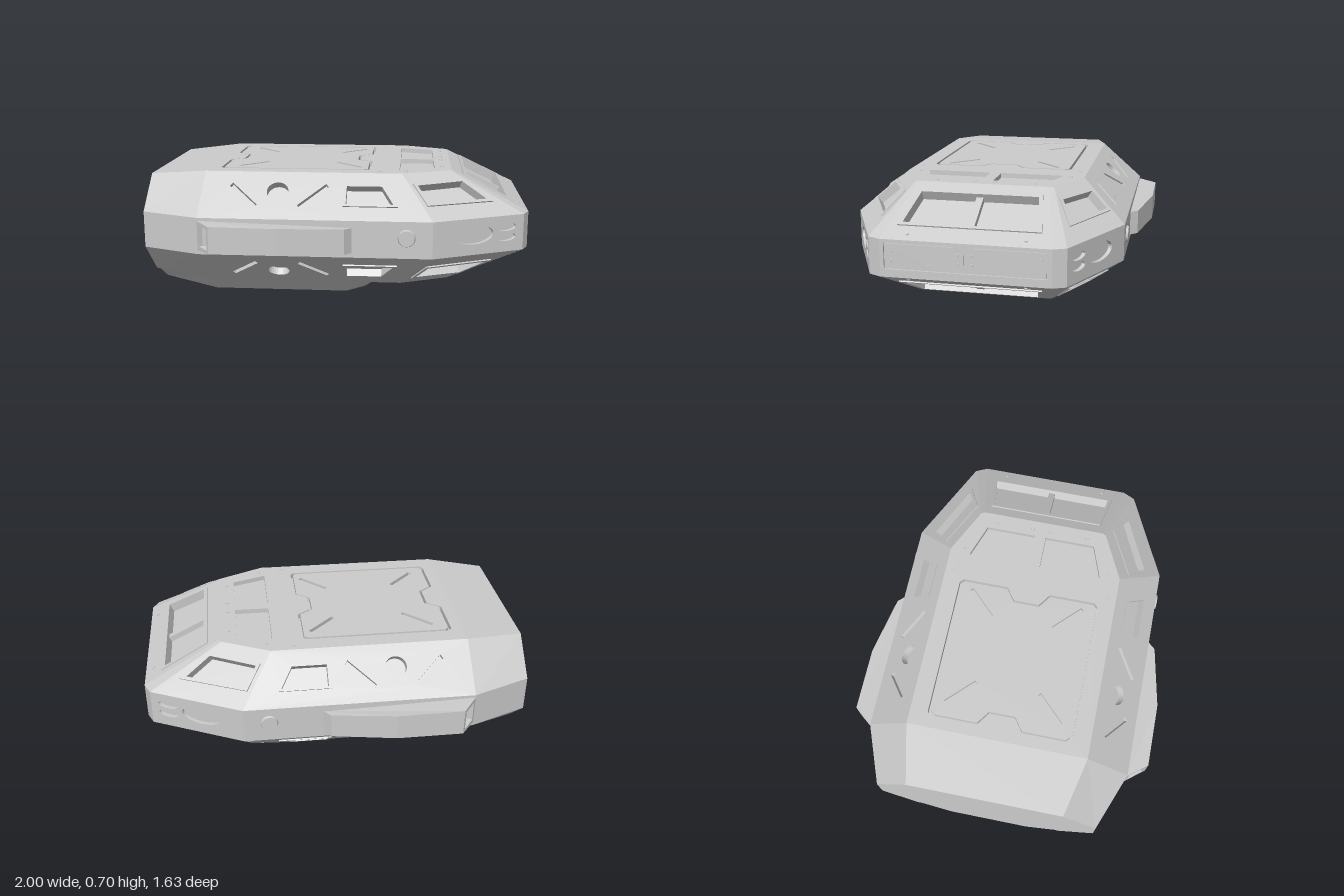
import * as THREE from 'three';
import { mergeGeometries } from 'three/addons/utils/BufferGeometryUtils.js';

const material = new THREE.MeshStandardMaterial({ color: 0xcccccc, side: THREE.DoubleSide });
const MID = 0.4; // height of the hull's mirror plane
const AXIS = { x: 0, y: 1, z: 2 };

// Items cut into or set on a panel, placed in two world axes
const hole = (pts, depth = 0.03, rim = 0) => ({ pts, depth, rim });
const stud = (a, b, r = 0.009, h = 0.005) => ({ at: [a, b], r, h });
const oval = (a, b, ra, rb, depth = 0.03) => hole(Array.from({ length: 28 }, (_, i) => {
  const t = (i / 28) * Math.PI * 2;
  return [a + ra * Math.cos(t), b + rb * Math.sin(t)];
}), depth);
const slot = (a0, b0, a1, b1, w = 0.011) => {
  const l = Math.hypot(a1 - a0, b1 - b0), p = -(b1 - b0) / l * w, q = (a1 - a0) / l * w;
  return hole([[a0 + p, b0 + q], [a1 + p, b1 + q], [a1 - p, b1 - q], [a0 - p, b0 - q]], 0.02);
};

// Grow a convex outline by d
function grow(pts, d) {
  const s = THREE.ShapeUtils.isClockWise(pts) ? -1 : 1, n = pts.length;
  const normal = (a, b) => new THREE.Vector2(b.y - a.y, a.x - b.x).normalize().multiplyScalar(s);
  return pts.map((p, i) => {
    const m = normal(pts[(i + n - 1) % n], p), k = normal(p, pts[(i + 1) % n]);
    return p.clone().addScaledVector(m.clone().add(k), d / (1 + m.dot(k)));
  });
}

// Strip of walls from the panel surface down to a depth
function walls(pts, depth) {
  const pos = [];
  pts.forEach((a, i) => {
    const b = pts[(i + 1) % pts.length];
    pos.push(a.x, a.y, 0, a.x, a.y, -depth, b.x, b.y, -depth, a.x, a.y, 0, b.x, b.y, -depth, b.x, b.y, 0);
  });
  return fromTriangles(pos);
}

function fromTriangles(pos) {
  const g = new THREE.BufferGeometry();
  g.setAttribute('position', new THREE.Float32BufferAttribute(pos, 3));
  g.computeVertexNormals();
  return g;
}

// Flat hull plate facing outward, with recesses, window rims and studs
function panel(name, points, { axes = 'xz', items = [], skirt = 0, sy = 1, sz = 1 } = {}) {
  const c = points.map(([x, y, z]) => new THREE.Vector3(x, MID + sy * (y - MID), sz * z));
  const n = new THREE.Vector3(), mid = new THREE.Vector3();
  c.forEach((p, i) => {
    n.add(new THREE.Vector3().crossVectors(p, c[(i + 1) % c.length]));
    mid.addScaledVector(p, 1 / c.length);
  });
  n.normalize();
  if (n.dot(mid.clone().sub(new THREE.Vector3(0, MID, 0))) < 0) { n.negate(); c.reverse(); }
  if (!items.length && !skirt) {
    const pos = [];
    for (let i = 1; i < c.length - 1; i++) for (const p of [c[0], c[i], c[i + 1]]) pos.push(p.x, p.y, p.z);
    const plain = new THREE.Mesh(fromTriangles(pos), material);
    plain.name = name;
    return plain;
  }

  const u = c[1].clone().sub(c[0]).normalize(), v = new THREE.Vector3().crossVectors(n, u);
  const flat = (p) => { const d = p.clone().sub(c[0]); return new THREE.Vector2(d.dot(u), d.dot(v)); };
  const i = AXIS[axes[0]], j = AXIS[axes[1]], k = 3 - i - j;
  const sign = (axis, t) => (axis === 2 ? sz * t : axis === 1 ? MID + sy * (t - MID) : t);
  const project = ([a, b]) => {
    const p = new THREE.Vector3();
    p.setComponent(i, sign(i, a)).setComponent(j, sign(j, b));
    return flat(p.setComponent(k, (n.dot(c[0]) - n.dot(p)) / n.getComponent(k)));
  };

  const outline = c.map(flat), shape = new THREE.Shape(outline), parts = [];
  for (const it of items) {
    if (it.at) {
      const p = project(it.at);
      parts.push(new THREE.CylinderGeometry(it.r * 0.9, it.r, it.h, 20).rotateX(Math.PI / 2).translate(p.x, p.y, it.h / 2));
      continue;
    }
    const pts = it.pts.map(project);
    shape.holes.push(new THREE.Path(pts));
    parts.push(walls(pts, it.depth), new THREE.ShapeGeometry(new THREE.Shape(pts)).translate(0, 0, -it.depth));
    if (it.rim) {
      const ring = new THREE.Shape(grow(pts, it.rim));
      ring.holes.push(new THREE.Path(pts));
      parts.push(new THREE.ExtrudeGeometry(ring, { depth: 0.007, bevelEnabled: false }));
    }
  }
  if (skirt) parts.push(walls(outline, skirt));
  parts.push(new THREE.ShapeGeometry(shape));
  const geometry = mergeGeometries(parts.map((g) => {
    const f = g.index ? g.toNonIndexed() : g;
    f.deleteAttribute('uv');
    return f;
  }));
  geometry.applyMatrix4(new THREE.Matrix4().makeBasis(u, v, n).setPosition(c[0]));
  const mesh = new THREE.Mesh(geometry, material);
  mesh.name = name;
  return mesh;
}

export function createModel() {
  const model = new THREE.Group();
  model.name = 'podHull';
  const add = (...args) => model.add(panel(...args));
  const flip = ([x, y, z]) => [x, y, -z];
  const under = ([x, y, z]) => [x, 2 * MID - y, z];
  const bothSides = (pts) => [...pts, ...pts.map(flip).reverse()];

  // Roof edge and wall edge, tail to nose
  const R = [[-1, 0.665, 0.41], [-0.69, 0.695, 0.48], [0.34, 0.695, 0.48], [0.59, 0.695, 0.36], [0.6, 0.695, 0.34]];
  const W = [[-1, 0.495, 0.59], [-0.69, 0.495, 0.71], [0.5, 0.495, 0.71], [0.97, 0.495, 0.485], [1, 0.495, 0.42]];

  // Hatch outline with a notch in the front and rear edges
  const hatch = (g) => {
    const a = -0.63 + g, b = 0.17 - g, w = 0.385 - g;
    const half = [[a, 0.12], [a, w - 0.02], [a + 0.02, w], [b - 0.02, w], [b, w - 0.02], [b, 0.12]];
    return [[a + 0.07, 0.07], ...half, [b - 0.07, 0.07], [b - 0.07, -0.07],
      ...half.map(([x, z]) => [x, -z]).reverse(), [a + 0.07, -0.07]];
  };
  const mirrored = (make) => [make(1), make(-1)];
  const roofWindows = mirrored((s) => hole([[0.325, 0.03 * s], [0.51, 0.03 * s], [0.51, 0.305 * s], [0.325, 0.37 * s]], 0.025));
  const roofStuds = [[0.55, 0.26], [0.55, 0.05], [0.36, 0.41], [0.22, 0.44]]
    .flatMap(([x, z]) => mirrored((s) => stud(x, z * s)));

  for (const sy of [1, -1]) {
    const top = sy > 0, level = top ? 'upper' : 'lower';
    add(top ? 'roof' : 'belly', bothSides(R.slice(1)), {
      sy, items: top ? [...roofWindows, ...roofStuds, hole(hatch(0), 0.03)] : roofWindows });
    add(level + 'TailSlope', bothSides(R.slice(0, 2)), { sy });
    add(level + 'Windshield', bothSides([R[4], W[4]]), { sy, items: [
      hole([[0.68, -0.3], [0.89, -0.335], [0.89, 0.335], [0.68, 0.3]], 0.045, 0.02),
      stud(0.96, 0.29), stud(0.96, -0.29)] });
    const barY = (x) => 0.68 - 0.5 * (x - 0.6);
    add(level + 'WindshieldBar', bothSides([[0.675, barY(0.675), 0.018], [0.895, barY(0.895), 0.018]]), { sy, skirt: 0.03 });

    for (const sz of [1, -1]) {
      const quad = (i) => [R[i], R[i + 1], W[i + 1], W[i]];
      add(level + 'RearShoulder', quad(0), { sy, sz });
      add(level + 'SideShoulder', quad(1), { sy, sz, items: [
        slot(-0.54, 0.545, -0.4, 0.65), slot(-0.04, 0.545, -0.18, 0.65),
        oval(-0.295, 0.575, 0.056, 0.042, 0.04),
        hole([[0.06, 0.55], [0.24, 0.55], [0.3, 0.635], [0.06, 0.635]], 0.035, 0.014)] });
      add(level + 'CornerShoulder', quad(2), { sy, sz, items: [
        hole([[0.42, 0.528], [0.65, 0.412], [0.775, 0.472], [0.48, 0.61]], 0.04, 0.018)] });
      add(level + 'NoseShoulder', quad(3), { sy, sz });
    }
  }

  // Hatch plate with four diagonal slots
  add('hatchPlate', hatch(0.014).map(([x, z]) => [x, 0.695, z]), { skirt: 0.03, items: mirrored((s) => [
    slot(-0.54, 0.31 * s, -0.4, 0.17 * s), slot(0.12, 0.31 * s, -0.02, 0.17 * s)]).flat() });

  // Upright side walls with lamps and a round side button
  const wallItems = [[], [stud(0.37, 0.41, 0.045, 0.012)],
    [oval(0.71, 0.41, 0.1, 0.05, 0.02), oval(0.88, 0.435, 0.05, 0.021, 0.02), oval(0.88, 0.382, 0.05, 0.021, 0.02)], []];
  const wallNames = ['rearWall', 'sideWall', 'lampWall', 'noseEdge'];
  for (const sz of [1, -1]) {
    wallNames.forEach((name, i) => add(name, [W[i], W[i + 1], under(W[i + 1]), under(W[i])], { axes: 'xy', sz, items: wallItems[i] }));
  }

  // Nose face with a shallow bay holding two bolted plates
  const rect = (z0, z1, y0, y1) => [[z0, y0], [z1, y0], [z1, y1], [z0, y1]];
  add('noseFace', bothSides([W[4], under(W[4])]), { axes: 'zy', items: [hole(rect(-0.4, 0.4, 0.345, 0.478), 0.01)] });
  for (const sz of [1, -1]) {
    add('nosePlate', [[0.12, 0.35], [0.392, 0.35], [0.392, 0.473], [0.05, 0.473], [0.03, 0.45], [0.006, 0.435],
      [0.006, 0.388], [0.03, 0.373], [0.05, 0.35]].map(([z, y]) => [0.997, y, z]), { axes: 'zy', sz, skirt: 0.007,
      items: [0.365, 0.035].flatMap((z) => [0.39, 0.435].map((y) => stud(z, y, 0.008, 0.003))) });
  }

  // Flat tail
  add('tailFace', bothSides([R[0], W[0], under(W[0]), under(R[0])]));

  // Keel under the belly with chamfered front corners
  const K = [[-1, 0.035, 0.22], [-0.69, 0, 0.32], [0.04, 0, 0.32], [0.14, 0, 0.22]];
  const T = [[-1, 0.135, 0.38], [-0.69, 0.105, 0.42], [0.1, 0.105, 0.42], [0.26, 0.105, 0.3]];
  add('keelFloor', bothSides(K.slice(1)), { items: mirrored((s) => oval(-0.17, 0.185 * s, 0.065, 0.065, 0.04)) });
  add('keelTailSlope', bothSides(K.slice(0, 2)));
  add('keelFront', bothSides([K[3], T[3]]));
  add('keelTail', bothSides([K[0], T[0]]));
  for (const sz of [1, -1]) {
    for (let i = 0; i < 3; i++) add('keelSide', [K[i], K[i + 1], T[i + 1], T[i]], { sz });
  }

  // Side sponsons with an open vent at the rear
  const S = [[-0.69, 0.71, 0.325, 0.48], [-0.61, 0.813, 0.335, 0.475], [-0.27, 0.813, 0.335, 0.472],
    [0.06, 0.75, 0.33, 0.46], [0.1, 0.705, 0.328, 0.458]];
  const low = S.map(([x, z, y]) => [x, y, z]), high = S.map(([x, z, , y]) => [x, y, z]);
  for (const sz of [1, -1]) {
    add('sponsonTop', high, { sz });
    add('sponsonBottom', low, { sz });
    for (let i = 0; i < 4; i++) {
      add(i ? 'sponsonSide' : 'sponsonVent', [low[i], low[i + 1], high[i + 1], high[i]], { axes: 'xy', sz,
        items: i ? [] : [hole(rect(-0.68, -0.622, 0.35, 0.458), 0.04)] });
    }
  }
  return model;
}
